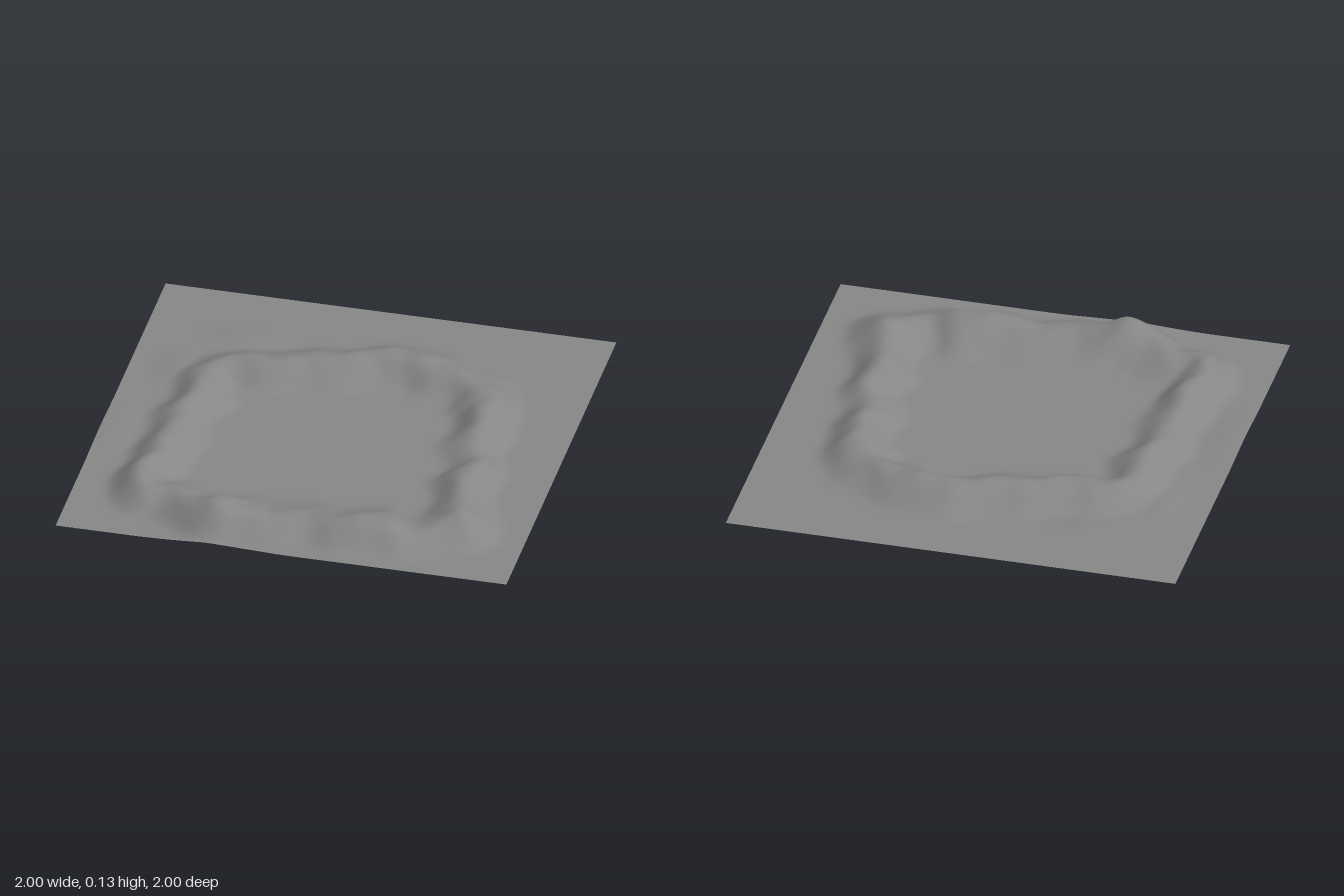
import * as THREE from 'three';

// Crest of the ridge ring: x, z, height
const CREST = [
  [-0.61, -0.34, 0.07], [-0.40, -0.40, 0.08], [-0.15, -0.48, 0.08],
  [0.20, -0.56, 0.095], [0.36, -0.51, 0.085], [0.51, -0.43, 0.075],
  [0.60, -0.30, 0.085], [0.61, -0.15, 0.09], [0.63, 0.07, 0.052],
  [0.66, 0.20, 0.075], [0.655, 0.35, 0.09], [0.66, 0.48, 0.075],
  [0.70, 0.61, 0.095], [0.54, 0.75, 0.055], [0.40, 0.78, 0.095],
  [0.25, 0.78, 0.095], [0.10, 0.78, 0.072], [-0.18, 0.83, 0.085],
  [-0.31, 0.83, 0.13], [-0.46, 0.79, 0.09], [-0.58, 0.71, 0.075],
  [-0.71, 0.68, 0.088], [-0.69, 0.40, 0.09], [-0.68, 0.18, 0.07],
  [-0.64, -0.18, 0.08],
];

// Low mounds outside the ring: x, z, height, radius x, radius z
const MOUNDS = [
  [-0.55, -0.66, 0.014, 0.24, 0.12], [-0.78, -0.36, 0.012, 0.14, 0.2],
  [-0.95, 0.2, 0.01, 0.16, 0.3], [-0.3, 1.0, 0.01, 0.35, 0.12],
];

function smooth(t) {
  const s = THREE.MathUtils.clamp(1 - t, 0, 1);
  return s * s * (3 - 2 * s);
}

// Dense crest samples; the back falls away gently outside, the front gently inside
function sampleCrest(count) {
  const { smoothstep } = THREE.MathUtils;
  const points = CREST.map(([x, z, h]) => new THREE.Vector3(x, h, z));
  const path = new THREE.CatmullRomCurve3(points, true, 'centripetal');
  return Array.from({ length: count }, (_, i) => {
    const { x, y, z } = path.getPoint(i / count);
    const tangent = path.getTangent(i / count);
    const back = smoothstep(-z, 0.2, 0.5);
    const front = smoothstep(z, 0.45, 0.85) * (1 - 0.5 * smoothstep(Math.abs(x), 0.4, 0.75));
    const corner = smooth(Math.hypot(x - 0.7, z - 0.63) / 0.25);
    const sway = 0.02 * Math.sin(x * 14 + z * 19);
    return {
      x, z, h: y, tx: tangent.x, tz: tangent.z,
      inner: 0.17 + 0.01 * back + 0.12 * front + sway,
      outer: 0.15 + 0.07 * back + 0.03 * front + 0.06 * corner - sway * 0.5,
    };
  });
}

// Ground height at a point, with the ring outline gently wavering
function heightAt(px, pz, crest) {
  const x = px + 0.01 * Math.sin(pz * 23 + 1);
  const z = pz + 0.01 * Math.sin(px * 21);
  let best = crest[0], d2 = Infinity;
  for (const c of crest) {
    const d = (x - c.x) ** 2 + (z - c.z) ** 2;
    if (d < d2) { d2 = d; best = c; }
  }
  const inside = (z - best.z) * best.tx - (x - best.x) * best.tz > 0;
  const gullies = 1 + 0.06 * Math.sin(x * 31 + z * 12) * Math.sin(z * 27 - x * 9);
  const y = best.h * gullies * smooth(Math.sqrt(d2) / (inside ? best.inner : best.outer));
  if (inside) return y;
  const mounds = MOUNDS.map(([mx, mz, h, rx, rz]) =>
    h * smooth(Math.hypot((px - mx) / rx, (pz - mz) / rz)));
  return Math.max(y, ...mounds);
}

// One pass of averaging each height with its grid neighbours
function soften(heights, row) {
  return heights.map((h, i) => {
    const c = i % row, r = Math.floor(i / row);
    let sum = h * 2, weight = 2;
    for (const [dc, dr] of [[1, 0], [-1, 0], [0, 1], [0, -1]]) {
      if (c + dc < 0 || c + dc >= row || r + dr < 0 || r + dr >= row) continue;
      sum += heights[i + dc + dr * row];
      weight++;
    }
    return sum / weight;
  });
}

export function createModel() {
  const group = new THREE.Group();
  group.name = 'terrain';

  // Flat square sheet raised into an irregular ring of hills
  const size = 140;
  const geometry = new THREE.PlaneGeometry(2, 2, size, size).rotateX(-Math.PI / 2);
  const pos = geometry.attributes.position;
  const crest = sampleCrest(500);
  let heights = new Float32Array(pos.count);
  heights = heights.map((_, i) => heightAt(pos.getX(i), pos.getZ(i), crest));
  for (let pass = 0; pass < 4; pass++) heights = soften(heights, size + 1);
  heights.forEach((h, i) => pos.setY(i, h));
  geometry.computeVertexNormals();

  const material = new THREE.MeshStandardMaterial({ color: 0x868686, side: THREE.DoubleSide });
  const ground = new THREE.Mesh(geometry, material);
  ground.name = 'groundWithRidgeRing';
  group.add(ground);
  return group;
}
